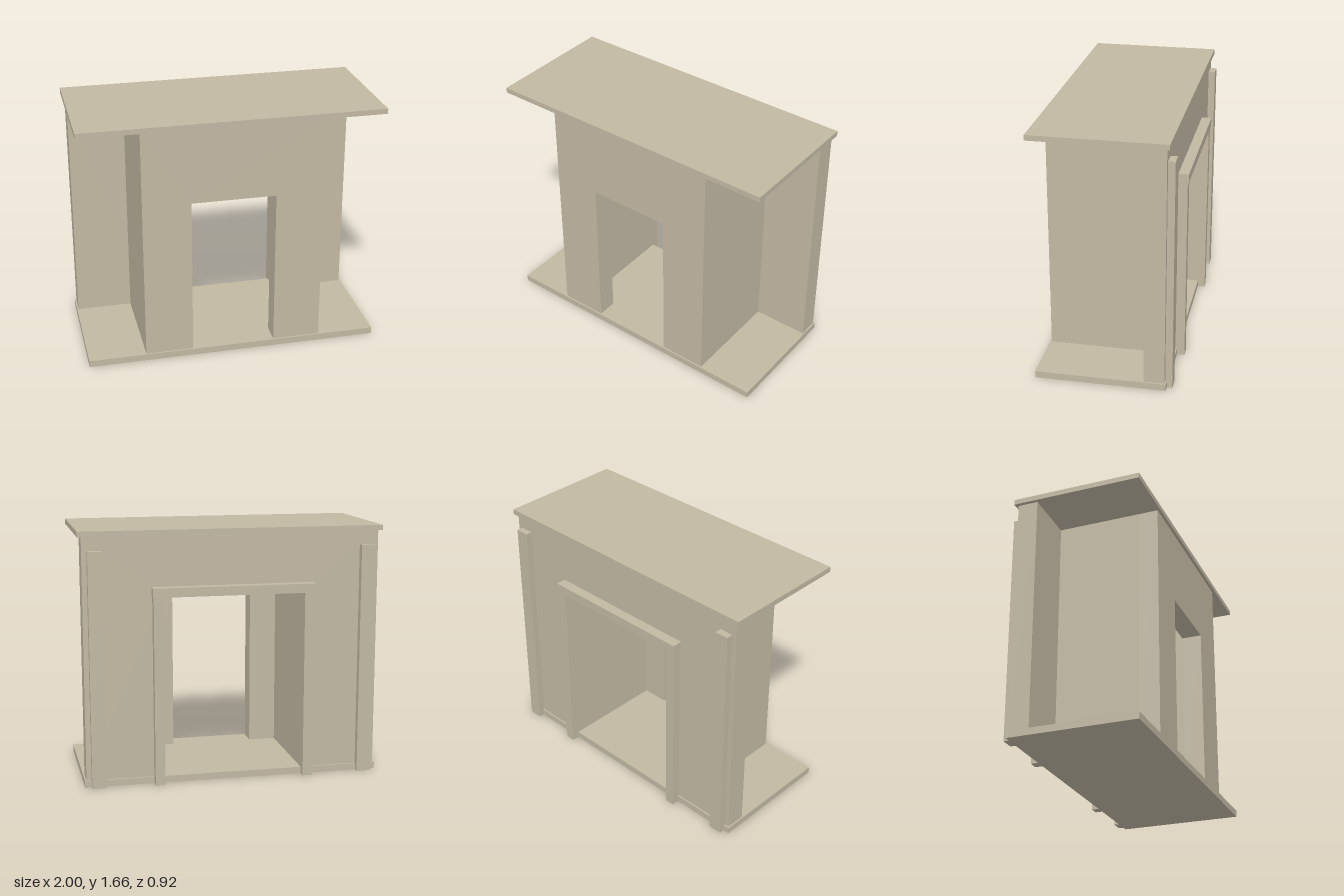
import * as THREE from 'three';

export function createModel() {
  const group = new THREE.Group();
  const stone = new THREE.MeshStandardMaterial({ color: 0xc2b8a3 });
  stone.name = 'stone';

  const add = (name, geometry) => {
    const mesh = new THREE.Mesh(geometry, stone);
    mesh.name = name;
    group.add(mesh);
  };

  // Box given by its limits on each axis
  const box = (name, [x0, x1], [y0, y1], [z0, z1]) =>
    add(name, new THREE.BoxGeometry(x1 - x0, y1 - y0, z1 - z0)
      .translate((x0 + x1) / 2, (y0 + y1) / 2, (z0 + z1) / 2));

  // Wall with a doorway that is open at the floor
  const floor = 0.045, top = 1.63, thick = 0.135;
  const doorWall = (name, halfWidth, halfDoor, doorTop, zBack) => {
    const shape = new THREE.Shape([
      [-halfWidth, floor], [-halfDoor, floor], [-halfDoor, doorTop], [halfDoor, doorTop],
      [halfDoor, floor], [halfWidth, floor], [halfWidth, top], [-halfWidth, top],
    ].map(([x, y]) => new THREE.Vector2(x, y)));
    add(name, new THREE.ExtrudeGeometry(shape, { depth: thick, bevelEnabled: false })
      .translate(0, 0, zBack));
  };

  // Slabs
  box('base', [-0.985, 0.985], [0, floor], [-0.4, 0.45]);
  box('topSlab', [-1, 1], [top, 1.665], [-0.41, 0.46]);

  // Wide wall and the projecting chamber
  doorWall('wideWall', 0.975, 0.465, 1.26, -0.39);
  doorWall('chamberFront', 0.6, 0.28, 1.12, 0.305);
  box('chamberCeiling', [-0.465, 0.465], [1.54, top], [-0.255, 0.305]);

  for (const s of [-1, 1]) {
    const span = (a, b) => (s > 0 ? [a, b] : [-b, -a]);
    box('chamberSide', span(0.465, 0.6), [floor, top], [-0.255, 0.305]);
    // Trim around the wide opening and at the wall ends
    box('framePost', span(0.465, 0.53), [0, 1.24], [-0.45, -0.39]);
    box('pilaster', span(0.85, 0.942), [0, 1.54], [-0.435, -0.39]);
  }
  box('frameLintel', [-0.535, 0.535], [1.24, 1.3], [-0.457, -0.39]);

  return group;
}
